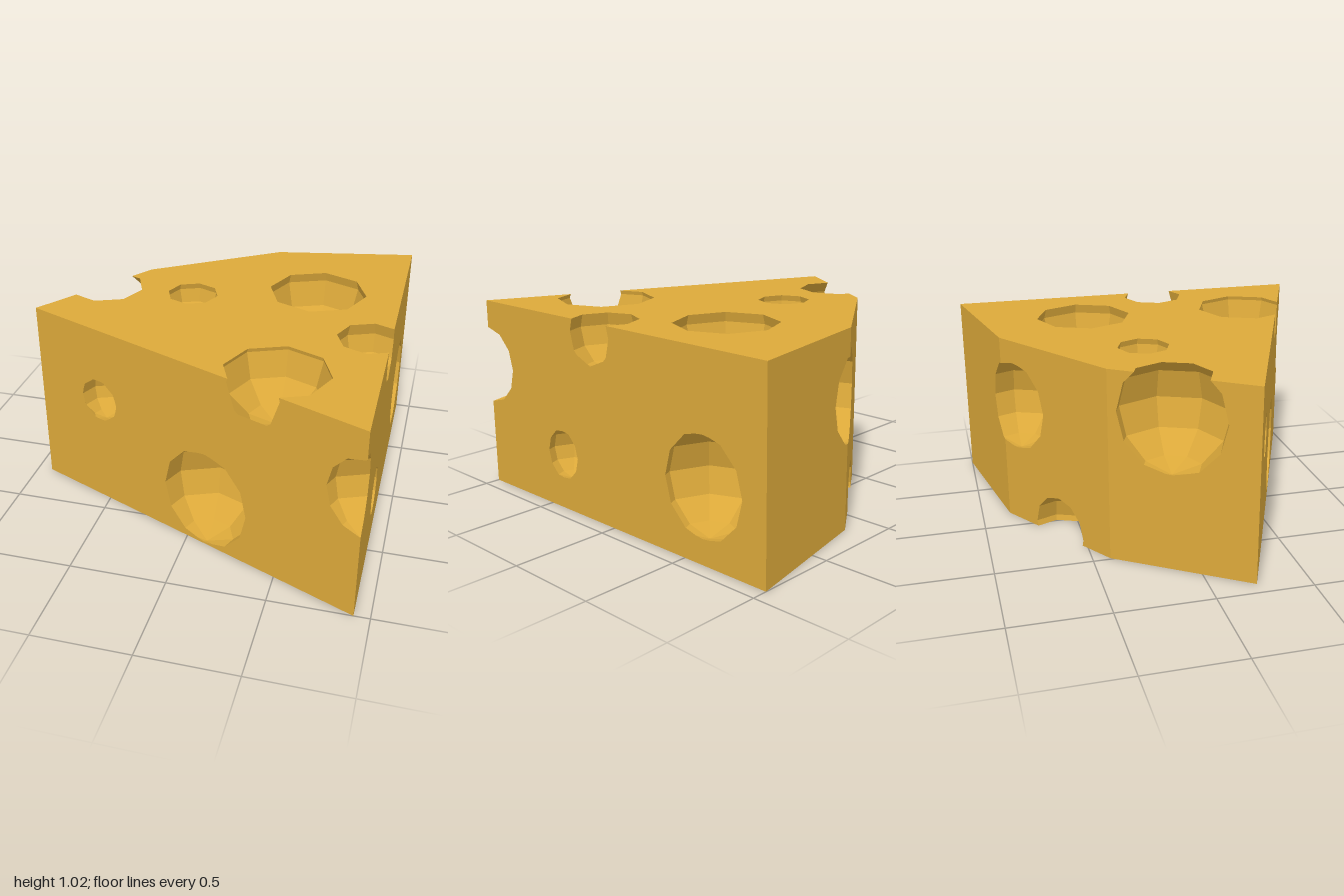
import * as THREE from 'three';

const HEIGHT = 1.02;
// wedge footprint as [x, z], counter-clockwise seen from above
const OUTLINE = [[-0.92, 0.23], [0.92, 1], [0.92, -1], [0.16, -0.85], [-0.49, -0.41]];

// bubbles: name, centre x, y, z, radius
const BUBBLES = [
  ['frontLargeHole', 0.113, 0.28, 0.64, 0.275],
  ['frontSmallHole', -0.515, 0.61, 0.35, 0.128],
  ['rightLargeHole', 0.875, 0.377, -0.62, 0.26],
  ['rightSmallHole', 0.87, 0.294, 0.389, 0.139],
  ['cornerHole', 0.92, 0.668, 1.0, 0.207],
  ['topRightEdgeHole', 0.82, 0.957, 0.14, 0.187],
  ['topBackHole', 0.473, 0.97, -0.347, 0.275],
  ['topFrontEdgeHole', 0.44, 1.0, 0.585, 0.265],
  ['topSmallHole', -0.175, 0.99, -0.153, 0.144],
  ['leftEdgeHole', -0.656, 0.81, -0.13, 0.3],
  ['backHole', 0.1, 0.663, -0.77, 0.245],
  ['backBottomHole', -0.175, 0.03, -0.61, 0.19],
];

const planeOf = (poly) => new THREE.Plane().setFromCoplanarPoints(poly[0], poly[1], poly[2]);

// keep the part of a convex polygon on one side of a plane (sign -1 = behind it)
function clip(poly, plane, sign) {
  const out = [];
  poly.forEach((a, i) => {
    const b = poly[(i + 1) % poly.length];
    const da = plane.distanceToPoint(a) * sign;
    const db = plane.distanceToPoint(b) * sign;
    if (da >= 0) out.push(a);
    if ((da > 0 && db < 0) || (da < 0 && db > 0)) out.push(a.clone().lerp(b, da / (da - db)));
  });
  return out.length > 2 ? out : null;
}

// cut a convex solid, given by its planes, out of one polygon
function carve(poly, planes) {
  const pieces = [];
  let rest = poly;
  for (const plane of planes) {
    const outside = clip(rest, plane, 1);
    if (outside) pieces.push(outside);
    rest = clip(rest, plane, -1);
    if (!rest) return [poly]; // untouched
  }
  return pieces;
}

// faces of the uncut wedge: top, bottom and walls
function wedgeFaces() {
  const at = ([x, z], y) => new THREE.Vector3(x, y, z);
  const faces = [
    OUTLINE.map((p) => at(p, HEIGHT)),
    OUTLINE.map((p) => at(p, 0)).reverse(),
  ];
  OUTLINE.forEach((a, i) => {
    const b = OUTLINE[(i + 1) % OUTLINE.length];
    faces.push([at(a, 0), at(b, 0), at(b, HEIGHT), at(a, HEIGHT)]);
  });
  return faces;
}

// facets of a low-poly ball, 8 around and 6 high
function ballFaces(cx, cy, cz, r, around = 8, high = 6) {
  const point = (i, j) => {
    const t = (i / high) * Math.PI;
    const p = ((j % around) / around) * Math.PI * 2;
    return new THREE.Vector3(
      cx + r * Math.sin(t) * Math.cos(p), cy + r * Math.cos(t), cz + r * Math.sin(t) * Math.sin(p));
  };
  const faces = [];
  for (let i = 0; i < high; i++) {
    for (let j = 0; j < around; j++) {
      const face = [point(i + 1, j + 1)];
      if (i < high - 1) face.push(point(i + 1, j));
      face.push(point(i, j));
      if (i > 0) face.push(point(i, j + 1));
      faces.push(face);
    }
  }
  return faces;
}

// fan-triangulate polygons into one faceted geometry
function toGeometry(polys) {
  const points = [];
  for (const p of polys) {
    for (let i = 1; i < p.length - 1; i++) points.push(p[0], p[i], p[i + 1]);
  }
  const geometry = new THREE.BufferGeometry().setFromPoints(points);
  geometry.computeVertexNormals();
  return geometry;
}

export function createModel() {
  const cheese = new THREE.MeshStandardMaterial({ color: 0xdca93a });
  cheese.name = 'cheeseYellow';
  cheese.flatShading = true;

  const group = new THREE.Group();
  group.name = 'cheeseWedge';
  const add = (name, polys) => {
    const mesh = new THREE.Mesh(toGeometry(polys), cheese);
    mesh.name = name;
    group.add(mesh);
  };

  const wedge = wedgeFaces();
  const wedgePlanes = wedge.map(planeOf);
  let skin = wedge;

  for (const [name, x, y, z, r] of BUBBLES) {
    const ball = ballFaces(x, y, z, r);
    const ballPlanes = ball.map(planeOf);
    // open the hole in the wedge surface
    skin = skin.flatMap((poly) => carve(poly, ballPlanes));
    // line the hole with the inside of the ball, trimmed to the wedge
    const lining = ball
      .map((face) => wedgePlanes.reduce((poly, plane) => poly && clip(poly, plane, -1), face.reverse()))
      .filter(Boolean);
    add(name, lining);
  }
  add('wedgeBody', skin);
  return group;
}
